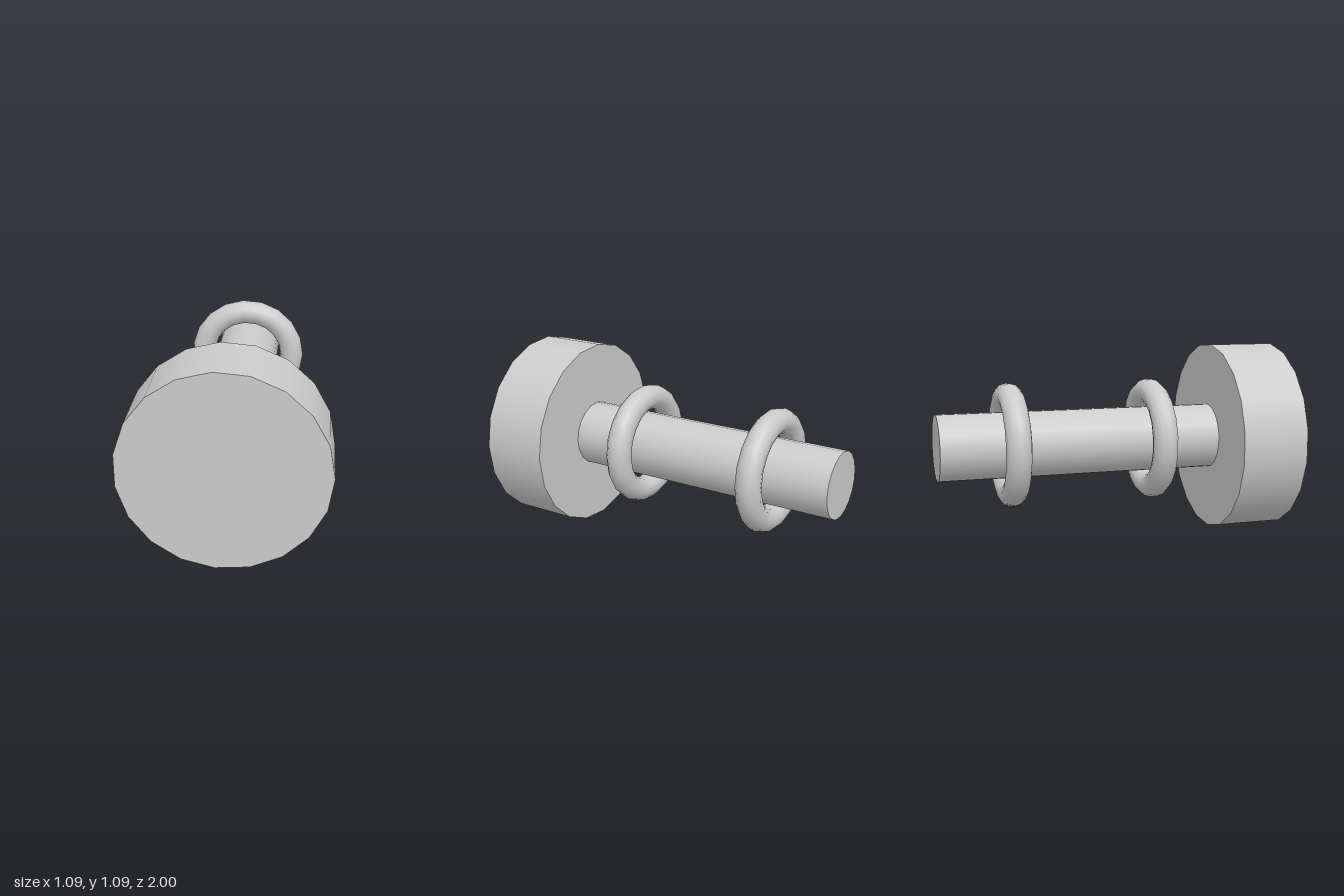
import * as THREE from 'three';

const SIDES = 19;
const AXIS_Y = 0.546;

export function createModel() {
  const group = new THREE.Group();
  const material = new THREE.MeshStandardMaterial({ color: 0xcccccc });

  const add = (name, geometry, z) => {
    const mesh = new THREE.Mesh(geometry, material);
    mesh.name = name;
    mesh.position.set(0, AXIS_Y, z);
    group.add(mesh);
  };

  // Cylinder lying along z, with one corner pointing to +x
  const addRod = (name, radius, zBack, zFront) => {
    const geometry = new THREE.CylinderGeometry(
      radius, radius, zFront - zBack, SIDES, 1, false, Math.PI / 2);
    geometry.rotateX(Math.PI / 2);
    add(name, geometry, (zFront + zBack) / 2);
  };

  // Wide disc at the front and the thin shaft behind it
  addRod('head', 0.547, 0.615, 1);
  addRod('shaft', 0.189, -1, 0.615);

  // Two loose rings around the shaft
  [['frontRing', 0.25], ['backRing', -0.588]].forEach(([name, z]) =>
    add(name, new THREE.TorusGeometry(0.28, 0.072, 12, SIDES), z));

  return group;
}
